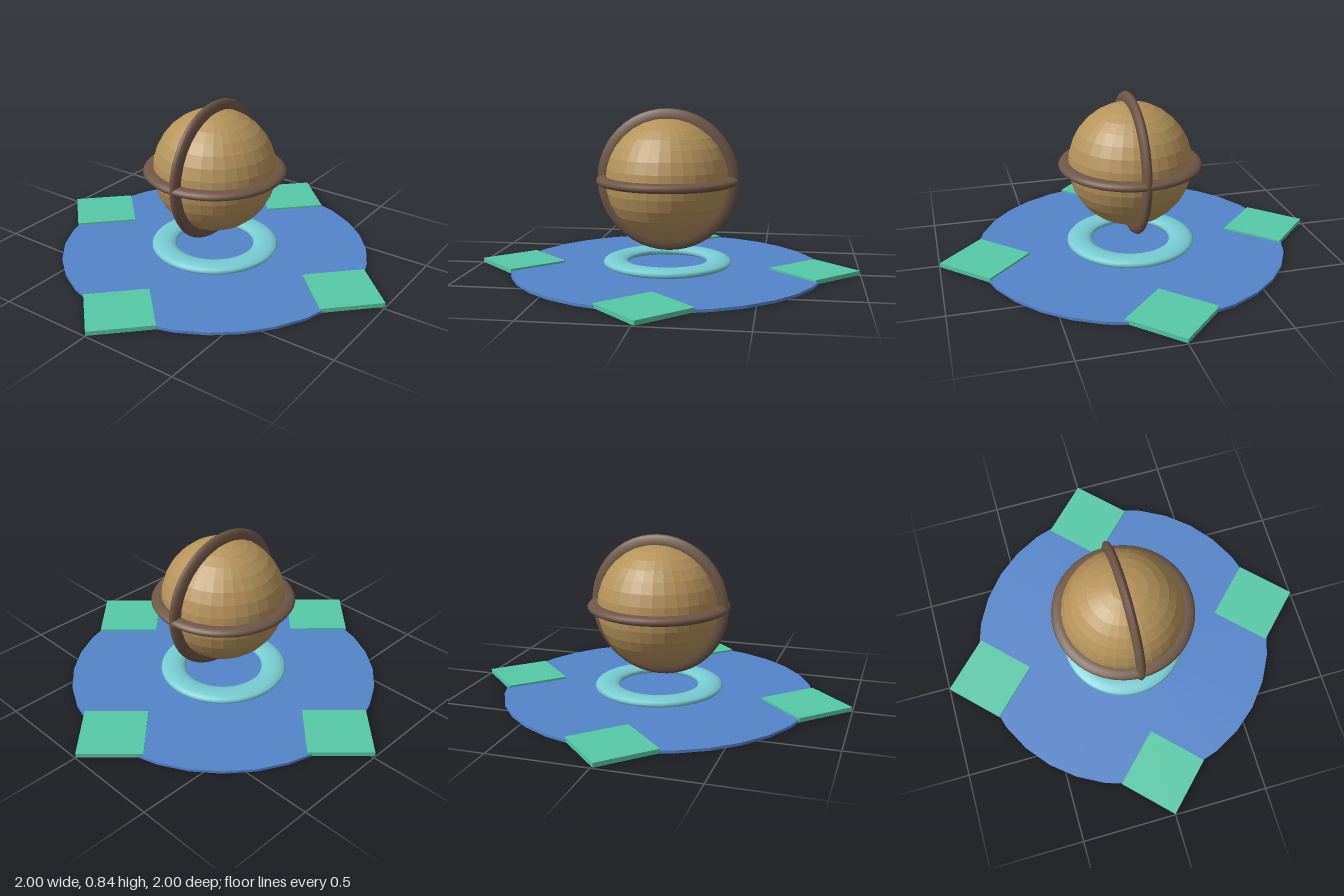
import * as THREE from 'three';

export function createModel() {
  const model = new THREE.Group();
  model.name = 'ringedOrbPlatform';

  const material = (name, color, flatShading = false) => {
    const m = new THREE.MeshStandardMaterial({ color, flatShading });
    m.name = name;
    return m;
  };
  const blue = material('blue', 0x5384ca, true);
  const green = material('green', 0x55c9a6, true);
  const aqua = material('aqua', 0x78ccd2);
  const bronze = material('bronze', 0xb5935a, true);
  const brown = material('brown', 0x6e5745);

  const add = (name, geometry, mat, x, y, z) => {
    const mesh = new THREE.Mesh(geometry, mat);
    mesh.name = name;
    mesh.position.set(x, y, z);
    model.add(mesh);
    return mesh;
  };
  const CZ = -0.008; // shared centre of the disc and orb

  // Thin base disc
  add('baseDisc', new THREE.CylinderGeometry(0.81, 0.81, 0.014, 32), blue, 0, 0.007, CZ);

  // Four square tiles set cornerwise around the rim
  const tile = new THREE.BoxGeometry(0.322, 0.022, 0.322);
  for (const [x, z] of [[0, 0.77], [0.77, -0.014], [0, -0.77], [-0.77, 0.012]]) {
    add('cornerTile', tile, green, x, 0.013, z).rotation.y = Math.PI / 4;
  }

  // Flattened rings lie in the xz plane
  const flatRing = (radius, tube, halfHeight) =>
    new THREE.TorusGeometry(radius, tube, 12, 48)
      .scale(1, 1, halfHeight / tube)
      .rotateX(Math.PI / 2);

  // Ring hovering over the disc
  add('floorRing', flatRing(0.27, 0.065, 0.024), aqua, 0, 0.043, CZ);

  // Floating orb with two crossed bands
  add('orb', new THREE.SphereGeometry(0.32, 32, 16), bronze, 0, 0.47, CZ);
  const band = flatRing(0.32, 0.05, 0.024);
  add('horizontalBand', band, brown, 0, 0.47, CZ);
  add('verticalBand', band, brown, 0, 0.47, CZ).rotation.z = Math.PI / 2;

  return model;
}
